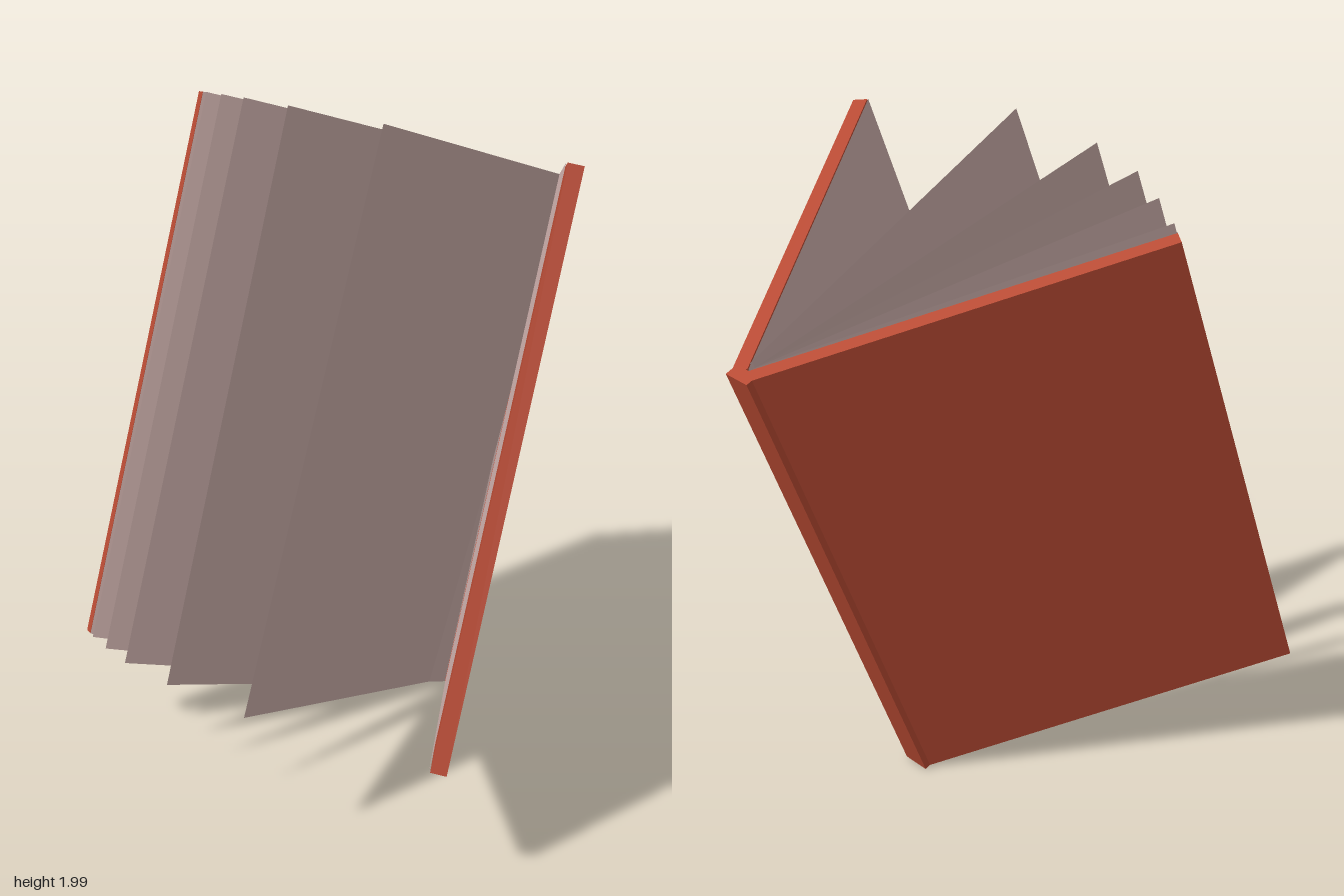
import * as THREE from 'three';

const H = 1.667; // height of boards and pages along the spine
const coverMat = new THREE.MeshStandardMaterial({ color: 0xb84a33 });
const pageMat = new THREE.MeshStandardMaterial({ color: 0xcbaeaa, side: THREE.DoubleSide });

// Solid board from a cross-section of [distance from spine, z] points
function board(name, section) {
  const shape = new THREE.Shape(section.map(([w, z]) => new THREE.Vector2(-w, z)));
  const geo = new THREE.ExtrudeGeometry(shape, { depth: H, bevelEnabled: false });
  geo.rotateX(Math.PI / 2).translate(0, H / 2, 0);
  const mesh = new THREE.Mesh(geo, coverMat);
  mesh.name = name;
  return mesh;
}

// Thin flat sheet from root to free edge; tilt shifts z between bottom and top
function sheet(name, [w0, z0], [w1, z1], tilt = 0) {
  const h = H / 2, t = tilt / 2;
  const geo = new THREE.BufferGeometry();
  geo.setAttribute('position', new THREE.Float32BufferAttribute([
    -w0, -h, z0 - t, -w0, h, z0 + t, -w1, h, z1 + t, -w1, -h, z1 - t,
  ], 3));
  geo.setIndex([0, 1, 2, 0, 2, 3]);
  geo.computeVertexNormals();
  const mesh = new THREE.Mesh(geo, pageMat);
  mesh.name = name;
  return mesh;
}

export function createModel() {
  const model = new THREE.Group();
  model.name = 'openBook';
  const book = new THREE.Group();
  book.name = 'tiltedBook';

  // Spine and the two hinged covers
  book.add(board('spine', [[0, -0.01], [0.04, -0.01], [0.04, 0.08], [0, 0.08]]));
  book.add(board('frontCover', [[0.02, 0.077], [1.028, 0.688], [1.05, 0.648], [0.043, 0.038]]));
  book.add(board('backCover', [[0.015, -0.007], [0.98, -0.69], [1.004, -0.655], [0.04, 0.029]]));

  // Paper linings inside the covers
  book.add(sheet('frontLining', [0.045, 0.035], [1.052, 0.645]));
  book.add(sheet('backLining', [0.042, 0.032], [1.006, -0.652]));

  // Loose pages fanned out from the spine: [distance, z] of the free edge, root z, tilt
  [
    [1.03, -0.62, 0.031, 0],
    [1.092, -0.51, 0.031, 0],
    [1.155, -0.375, 0.03, 0],
    [1.2, -0.175, 0.029, -0.006],
    [1.217, 0.146, 0.03, 0.036],
  ].forEach(([w, z, root, tilt], i) => {
    book.add(sheet(`page${i + 1}`, [0.042, root], [w, z], tilt));
  });

  // Whole book leans sideways on the bottom end of its spine
  book.rotation.z = -0.3665;
  book.position.set(0.571, 0.779, 0);
  model.add(book);
  return model;
}
